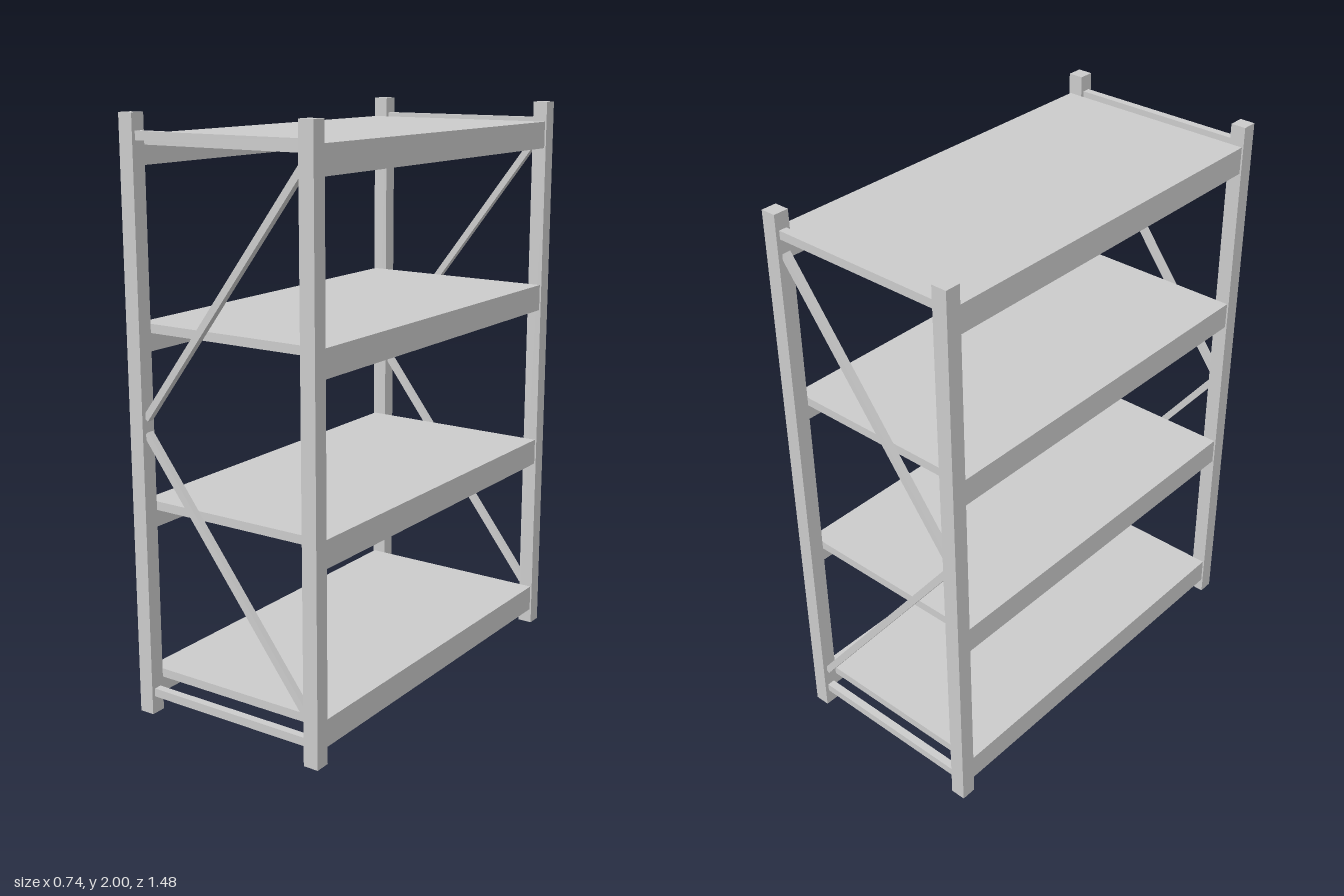
import * as THREE from 'three';

const metal = new THREE.MeshStandardMaterial({ color: 0xcccccc, flatShading: true });
const tubeMetal = new THREE.MeshStandardMaterial({ color: 0xcccccc, flatShading: true, side: THREE.DoubleSide });

const POST = 0.054;                 // post section
const PX = 0.343, PZ = 0.713;       // post centres
const SPAN_X = 2 * PX - POST;       // clear width between posts
const SPAN_Z = 2 * PZ - POST;       // clear length between posts

function box(name, parent, size, pos, material = metal) {
  const mesh = new THREE.Mesh(new THREE.BoxGeometry(...size), material);
  mesh.name = name;
  mesh.position.set(...pos);
  parent.add(mesh);
  return mesh;
}

// Square bar between two points in the plane of an end frame
function strut(name, parent, x1, y1, x2, y2, z, t) {
  const length = Math.hypot(x2 - x1, y2 - y1);
  const mesh = box(name, parent, [length, t, t], [(x1 + x2) / 2, (y1 + y2) / 2, z]);
  mesh.rotation.z = Math.atan2(y2 - y1, x2 - x1);
}

// Two posts, top and bottom rails and a pair of diagonal braces
function endFrame(name, z) {
  const frame = new THREE.Group();
  frame.name = name;
  for (const x of [-PX, PX]) {
    const post = box('post', frame, [POST, 2, POST], [x, 1, z], tubeMetal);
    // hollow post: leave the foot open
    const index = Array.from(post.geometry.index.array);
    index.splice(18, 6);
    post.geometry.setIndex(index);
    post.geometry.clearGroups();
  }
  for (const y of [0.075, 1.93]) {
    box('rail', frame, [SPAN_X, 0.029, 0.028], [0, y, z]);
  }
  const ex = SPAN_X / 2;
  strut('lowerBrace', frame, ex, 0.16, -ex, 0.98, z, 0.024);
  strut('upperBrace', frame, -ex, 1.03, ex, 1.865, z, 0.024);
  return frame;
}

// Deck panel carried by a beam along each long side
function shelf(top) {
  const group = new THREE.Group();
  group.name = 'shelf';
  const beamW = 0.035, beamH = 0.094, half = 0.364;
  box('deck', group, [2 * (half - beamW), 0.03, SPAN_Z], [0, top - 0.015, 0]);
  for (const s of [-1, 1]) {
    box('beam', group, [beamW, beamH, SPAN_Z], [s * (half - beamW / 2), top - beamH / 2, 0]);
  }
  return group;
}

export function createModel() {
  const model = new THREE.Group();
  model.name = 'shelvingRack';
  model.add(endFrame('frontFrame', PZ), endFrame('backFrame', -PZ));
  for (let i = 0; i < 4; i++) model.add(shelf(0.148 + i * 0.594));
  return model;
}
